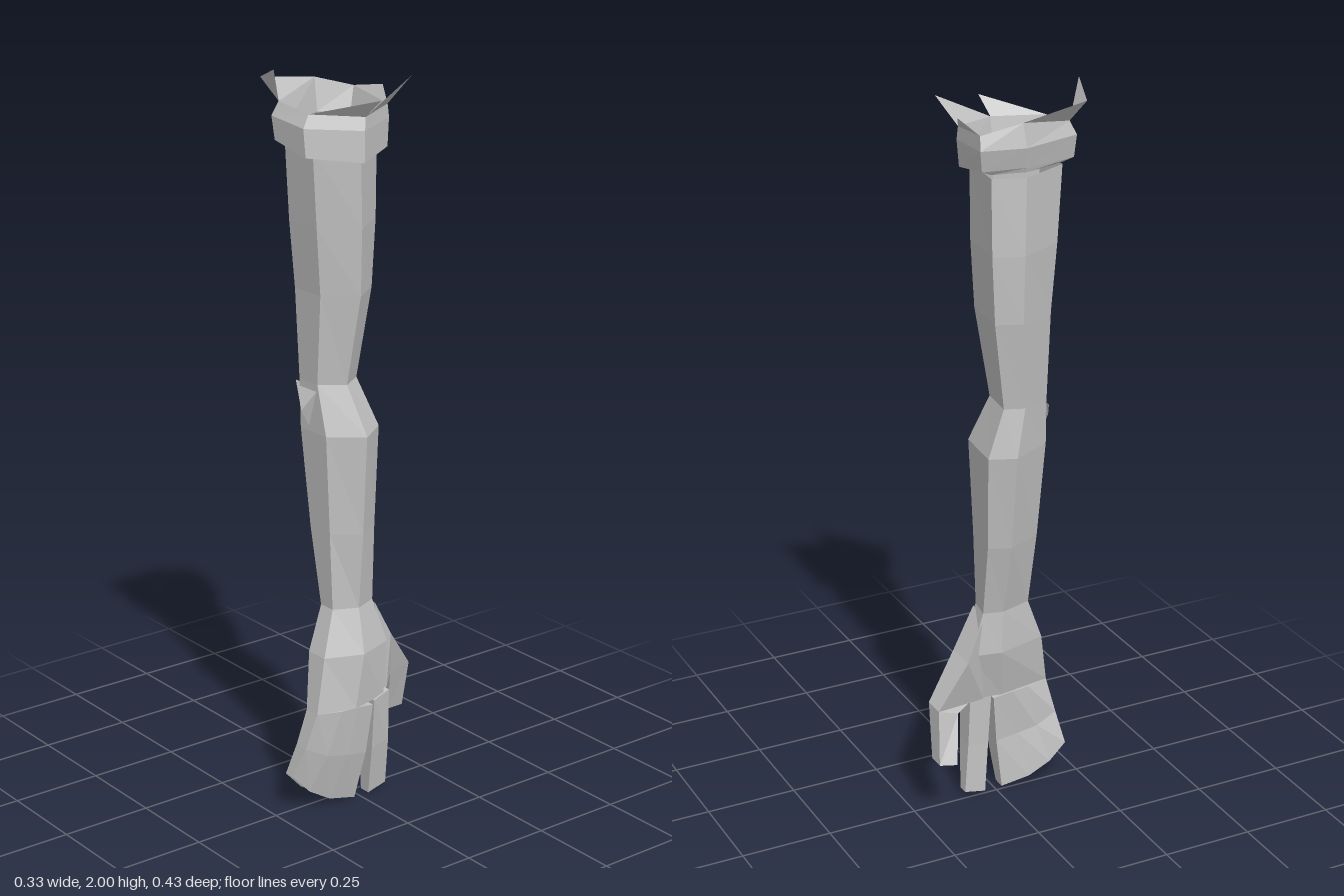
import * as THREE from 'three';

const skin = new THREE.MeshStandardMaterial({ color: 0xc2c2c2, side: THREE.DoubleSide });
skin.name = 'plain grey';

// flat-shaded mesh from a list of triangles (arrays of three Vector3)
function facets(name, tris) {
  const pts = tris.flat();
  const g = new THREE.BufferGeometry().setFromPoints(pts);
  g.computeVertexNormals();
  const m = new THREE.Mesh(g, skin);
  m.name = name;
  return m;
}

// joins rings of equal point count, optionally closing the ends, facing outward
function loft(name, rings, capStart = false, capEnd = false) {
  const tris = [];
  const n = rings[0].length;
  for (let r = 0; r < rings.length - 1; r++) {
    for (let i = 0; i < n; i++) {
      const j = (i + 1) % n;
      const a = rings[r][i], b = rings[r][j], c = rings[r + 1][j], d = rings[r + 1][i];
      tris.push([a, d, c], [a, c, b]);
    }
  }
  const cap = (ring, flip) => {
    const mid = ring.reduce((s, p) => s.add(p), new THREE.Vector3()).divideScalar(n);
    ring.forEach((p, i) => {
      const q = ring[(i + 1) % n];
      tris.push(flip ? [mid, q, p] : [mid, p, q]);
    });
  };
  if (capStart) cap(rings[0], false);
  if (capEnd) cap(rings[rings.length - 1], true);
  // measure from a local centre so open shells also get the right facing
  const all = rings.flat();
  const centre = all.reduce((s, p) => s.add(p), new THREE.Vector3()).divideScalar(all.length);
  let volume = 0;
  for (const [a, b, c] of tris) {
    const u = a.clone().sub(centre), v = b.clone().sub(centre), w = c.clone().sub(centre);
    volume += u.dot(v.cross(w));
  }
  if (volume < 0) tris.forEach((t) => t.reverse());
  return facets(name, tris);
}

// skewed six-sided section fitted to a box; tilt lowers the +x side
const HEX = [[0.26, 1], [0.72, 1], [1, 0.55], [0.74, 0.08], [0.12, 0], [0, 0.38]];
function hex([y, x0, x1, z0, z1], tilt = 0) {
  return HEX.map(([u, v]) => {
    const x = x0 + u * (x1 - x0);
    return new THREE.Vector3(x, y - tilt * (x + 0.02), z0 + v * (z1 - z0));
  });
}

// hand section: points [z, y, xInner, xOuter] run across, then back on the other side
function section(points) {
  const outer = points.map(([z, y, , x]) => new THREE.Vector3(x, y, z));
  const inner = points.map(([z, y, x]) => new THREE.Vector3(x, y, z));
  return [...outer, ...inner.reverse()];
}

export function createModel() {
  const model = new THREE.Group();
  model.name = 'arm';

  // upper arm, elbow, forearm, wrist and palm
  const armRings = [
    [1.8, -0.15, 0.1, -0.075, 0.14],
    [1.6, -0.155, 0.095, -0.075, 0.125],
    [1.42, -0.148, 0.085, -0.065, 0.11],
    [1.18, -0.12, 0.045, -0.03, 0.105],
    [1.05, -0.13, 0.105, -0.075, 0.108],
    [0.78, -0.09, 0.09, -0.06, 0.097],
    [0.57, -0.037, 0.072, -0.052, 0.09],
    [0.45, -0.04, 0.105, -0.09, 0.135],
    [0.3, 0.0, 0.1, -0.075, 0.165],
  ].map((r) => hex(r));
  model.add(loft('armAndPalm', armRings, false, true));

  // fold at the front of the elbow
  const f = [[-0.1, 1.17, 0.1], [0.0, 1.17, 0.1], [-0.03, 1.11, 0.135], [-0.035, 1.05, 0.1]]
    .map((p) => new THREE.Vector3(...p));
  model.add(facets('elbowFold', [[f[0], f[2], f[1]], [f[0], f[3], f[2]], [f[1], f[2], f[3]]]));

  // joined fingers
  model.add(loft('joinedFingers', [
    section([[0.165, 0.3, 0.026, 0.072], [0.1, 0.3, 0.008, 0.095], [0.05, 0.3, 0.0, 0.1], [-0.006, 0.29, 0.005, 0.092]]),
    section([[0.187, 0.2, 0.01, 0.05], [0.13, 0.17, 0.01, 0.07], [0.07, 0.16, 0.012, 0.08], [0.007, 0.15, 0.015, 0.078]]),
    section([[0.205, 0.11, -0.015, 0.015], [0.16, 0.06, -0.01, 0.03], [0.1, 0.025, -0.002, 0.04], [0.02, 0.008, 0.008, 0.045]]),
  ], true, true));

  // separate index finger
  model.add(loft('indexFinger', [
    section([[-0.012, 0.3, 0.008, 0.09], [-0.074, 0.31, 0.01, 0.075]]),
    section([[-0.02, 0.15, 0.012, 0.07], [-0.08, 0.16, 0.012, 0.065]]),
    section([[-0.03, 0.005, 0.01, 0.042], [-0.092, 0.018, 0.008, 0.038]]),
  ], true, true));

  // thumb
  model.add(loft('thumb', [
    section([[-0.045, 0.56, -0.02, 0.05], [-0.04, 0.3, 0.0, 0.07]]),
    section([[-0.112, 0.45, -0.055, 0.035], [-0.09, 0.303, -0.01, 0.045]]),
    section([[-0.203, 0.33, -0.062, 0.0], [-0.145, 0.31, -0.06, -0.008]]),
    section([[-0.216, 0.185, -0.092, -0.045], [-0.17, 0.182, -0.105, -0.05]]),
  ], true, true));

  // flared cuff with a rolled inner wall
  const rim = hex([1.9, -0.152, 0.115, -0.105, 0.16], 0.12);
  rim[5].y = 1.94;
  model.add(loft('cuff', [
    hex([1.795, -0.148, 0.1, -0.075, 0.14], 0.15),
    hex([1.8, -0.152, 0.125, -0.1, 0.175], 0.2),
    hex([1.865, -0.165, 0.122, -0.11, 0.177], 0.1),
    rim,
    hex([1.84, -0.135, 0.1, -0.085, 0.14], 0.12),
    hex([1.795, -0.147, 0.099, -0.074, 0.139], 0.15),
  ]));

  // torn points around the rim
  const V = (x, y, z) => new THREE.Vector3(x, y, z);
  const corner = V(-0.125, 1.965, 0.185);
  const torn = [
    [rim[5], rim[0], corner],
    [corner, rim[0], V(-0.027, 2.0, 0.215)],
    [rim[1], rim[2], V(0.165, 1.93, 0.032)],
    [rim[2], rim[3], V(0.09, 1.965, -0.125)],
    [rim[3], rim[4], V(-0.01, 1.93, -0.112)],
  ];
  model.add(facets('tornEdge', torn));

  return model;
}
